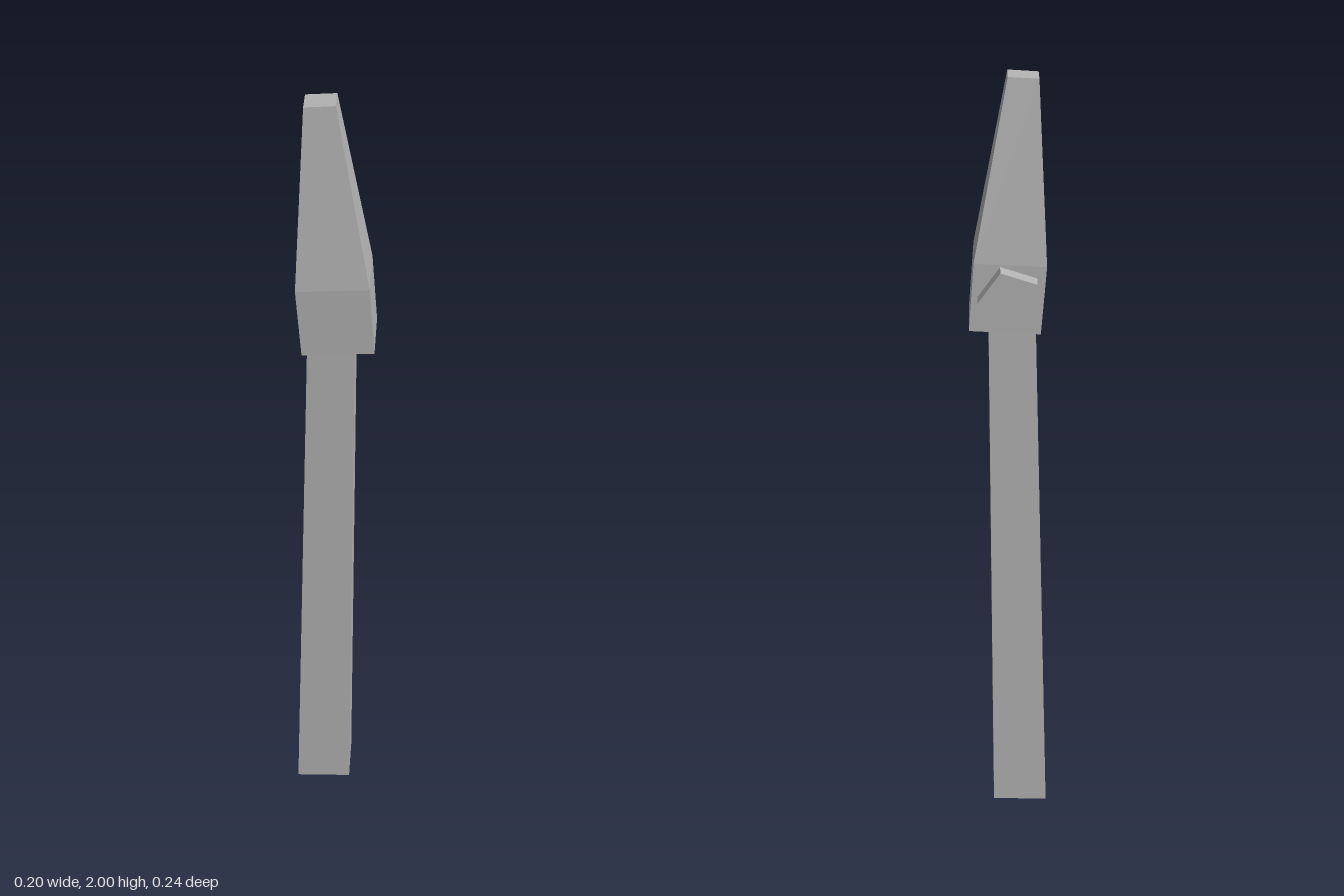
import * as THREE from 'three';

// Square-section bar: each level is [left x, right x, back z, front z, y at left x, y at right x], bottom to top
function taperedBar(levels) {
  const n = levels.length - 1;
  const geo = new THREE.BoxGeometry(1, n, 1, 1, n, 1);
  const p = geo.attributes.position;
  for (let i = 0; i < p.count; i++) {
    const [x0, x1, z0, z1, y0, y1] = levels[Math.round(p.getY(i) + n / 2)];
    const right = p.getX(i) > 0;
    p.setXYZ(i, right ? x1 : x0, right ? y1 : y0, p.getZ(i) > 0 ? z1 : z0);
  }
  const flat = geo.toNonIndexed();
  flat.computeVertexNormals();
  return flat;
}

export function createModel() {
  const model = new THREE.Group();
  model.name = 'spear';
  const grey = new THREE.MeshStandardMaterial({ color: 0xb4b4b4, flatShading: true });
  grey.name = 'plain grey';

  const add = (name, geo) => {
    const mesh = new THREE.Mesh(geo, grey);
    mesh.name = name;
    model.add(mesh);
    return mesh;
  };

  // Slightly leaning, tapered shaft, running a little way into the head
  add('shaft', taperedBar([
    [-0.102, 0.039, -0.052, 0.09, 0, 0.003],
    [-0.07, 0.05, -0.037, 0.083, 1.37, 1.37],
  ]));

  // Lopsided head: a short block that narrows to a blunt tip
  add('head', taperedBar([
    [-0.082, 0.1, -0.068, 0.118, 1.35, 1.36],
    [-0.097, 0.087, -0.068, 0.118, 1.528, 1.538],
    [-0.077, 0.001, -0.015, 0.063, 1.995, 2],
  ]));

  // Five-sided knob on the back of the head
  const knob = new THREE.CylinderGeometry(0.083, 0.083, 0.07, 5, 1, false, Math.PI / 2);
  knob.rotateX(Math.PI / 2);
  add('knob', knob).position.set(-0.005, 1.45, -0.085);

  return model;
}
